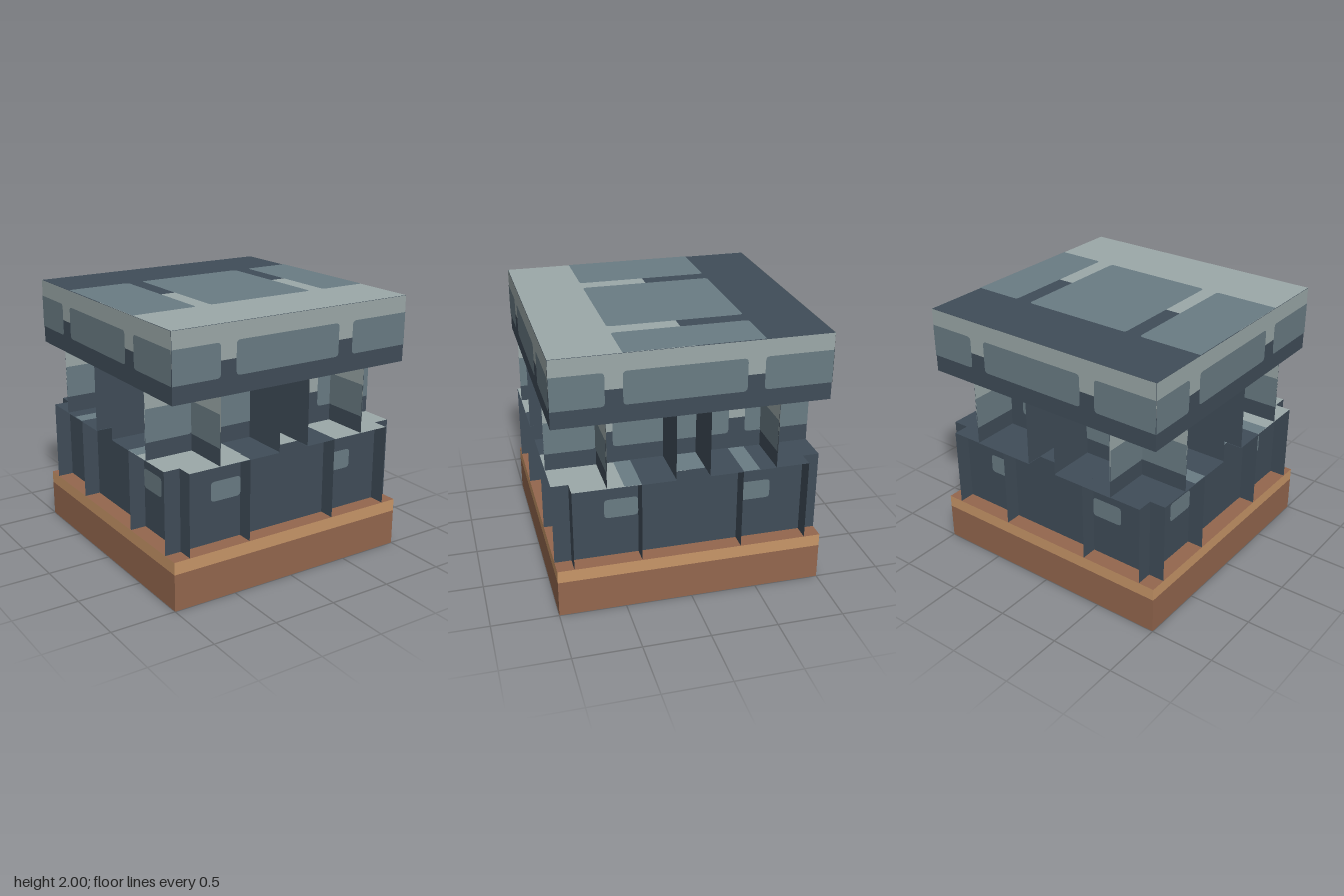
import * as THREE from 'three';

const mat = (name, color) => new THREE.MeshStandardMaterial({ name, color, side: THREE.DoubleSide });

export function createModel() {
  const slate = mat('slate', 0x404d59);
  const steel = mat('steel', 0x6a7c84);
  const pale = mat('paleGrey', 0x9ca9a9);
  const brown = mat('brown', 0x94674e);
  const tan = mat('tan', 0xc89668);
  const model = new THREE.Group();

  const add = (parent, name, geo, material, x = 0, y = 0, z = 0) => {
    const m = new THREE.Mesh(geo, material);
    m.name = name;
    m.position.set(x, y, z);
    parent.add(m);
    return m;
  };
  const group = (parent, name) => {
    const g = new THREE.Group();
    g.name = name;
    parent.add(g);
    return g;
  };

  // Flat rectangle in the xy plane, with separate rounding for its left and right corners
  function rect(x0, x1, y0, y1, rl = 0, rr = 0) {
    const s = new THREE.Shape();
    s.moveTo(x0 + rl, y0);
    s.lineTo(x1 - rr, y0);
    if (rr) s.quadraticCurveTo(x1, y0, x1, y0 + rr);
    s.lineTo(x1, y1 - rr);
    if (rr) s.quadraticCurveTo(x1, y1, x1 - rr, y1);
    s.lineTo(x0 + rl, y1);
    if (rl) s.quadraticCurveTo(x0, y1, x0, y1 - rl);
    s.lineTo(x0, y0 + rl);
    if (rl) s.quadraticCurveTo(x0, y0, x0 + rl, y0);
    return new THREE.ShapeGeometry(s, 4);
  }
  // Horizontal plate
  const plate = (x0, x1, z0, z1) => rect(x0, x1, -z1, -z0).rotateX(-Math.PI / 2);

  const R = 0.03;
  // Painted band, half a unit high: pale top edge and three steel panels
  function paintBand(parent, y, z, sides) {
    for (const s of sides) {
      add(parent, 'paleBand', rect(-1, 1, 0.25, 0.5), pale, 0, y, z + s * 0.002);
      for (const [a, b, rl, rr] of [[-1, -0.625, 0, R], [-0.5, 0.375, R, R], [0.5, 1, R, 0]])
        add(parent, 'steelPanel', rect(a, b, 0.13, 0.375, rl, rr), steel, 0, y, z + s * 0.004);
    }
  }

  // Base frame with a square opening
  function frame(y0, y1) {
    const s = new THREE.Shape([[-1, -1], [1, -1], [1, 1], [-1, 1]].map(p => new THREE.Vector2(...p)));
    s.holes.push(new THREE.Path([[-0.5, -0.5], [-0.5, 0.5], [0.5, 0.5], [0.5, -0.5]].map(p => new THREE.Vector2(...p))));
    return new THREE.ExtrudeGeometry(s, { depth: y1 - y0, bevelEnabled: false }).rotateX(-Math.PI / 2).translate(0, y0, 0);
  }
  const base = group(model, 'base');
  add(base, 'baseFrame', frame(0, 0.28), brown);
  add(base, 'baseRim', frame(0.28, 0.375), [brown, tan]);

  // Roof slab with its painted top
  const roof = group(model, 'roof');
  add(roof, 'roofSlab', new THREE.BoxGeometry(2, 0.5, 2), slate, 0, 1.75, 0);
  add(roof, 'roofPaleHalf', plate(-1, 1, 0, 1), pale, 0, 2.002, 0);
  for (const [a, b, rl, rr] of [[-1, -0.5, 0, R], [-0.38, 0.5, R, R], [0.625, 1, R, 0]])
    add(roof, 'roofPanel', rect(a, b, -0.5, 0.5, rl, rr).rotateX(-Math.PI / 2), steel, 0, 2.004, 0);

  // The same set of walls is repeated on all four sides
  for (let i = 0; i < 4; i++) {
    const side = group(model, 'side' + (i + 1));
    side.rotation.y = i * Math.PI / 2;
    paintBand(side, 1.5, 1, [1]);
    add(side, 'openingLining', rect(-0.5, 0.5, 0, 0.373), slate, 0, 0, 0.497);

    // Lower crossing walls with small windows on the outer one
    add(side, 'lowerOuterWall', rect(-1, 1, 0.375, 1), slate, 0, 0, 0.875);
    add(side, 'lowerInnerWall', rect(-1, 1, 0.375, 1), slate, 0, 0, 0.375);
    for (const x of [-0.5, 0.5])
      for (const s of [-1, 1])
        add(side, 'window', rect(x - 0.125, x + 0.125, 0.69, 0.84, R, R), steel, 0, 0, 0.875 + s * 0.002);

    // Upper crossing walls
    add(side, 'upperOuterWall', rect(-1, 1, 1, 1.5), slate, 0, 0, 0.625);
    paintBand(side, 1, 0.625, [-1, 1]);
    add(side, 'upperInnerWall', rect(-1, 1, 1, 1.5), slate, 0, 0, 0.125);

    // Floors under the upper walls and under the lower walls
    add(side, 'upperFloor', plate(-1, 1, 0.125, 0.625), slate, 0, 0.997, 0);
    add(side, 'upperFloorTop', plate(-1, 1, 0.125, 0.375), slate, 0, 1.004, 0);
    add(side, 'lowerFloor', plate(-0.99, 0.99, 0.375, 0.875), slate, 0, 0.372, 0);
  }

  // Painted ledges on top of the lower walls, clipped from the roof pattern
  const ledges = group(model, 'ledges');
  const pattern = [
    [-1, 1, -1, 0, slate, 0], [-1, 1, 0, 1, pale, 0],
    [-1, -0.5, -0.5, 0.5, steel, 0.002], [-0.38, 0.5, -0.5, 0.5, steel, 0.002], [0.625, 1, -0.5, 0.5, steel, 0.002],
  ];
  function ledge(x0, x1, z0, z1) {
    for (const [a, b, c, d, m, lift] of pattern) {
      const l = Math.max(a, x0), r = Math.min(b, x1), n = Math.max(c, z0), f = Math.min(d, z1);
      if (l < r && n < f) add(ledges, 'ledge', plate(l, r, n, f), m, 0, 1 + lift, 0);
    }
  }
  for (const [a, b] of [[-0.875, -0.375], [0.375, 0.875]]) {
    ledge(-1, 1, a, b);
    for (const [c, d] of [[-1, -0.875], [-0.375, 0.375], [0.875, 1]]) ledge(a, b, c, d);
  }
  return model;
}
